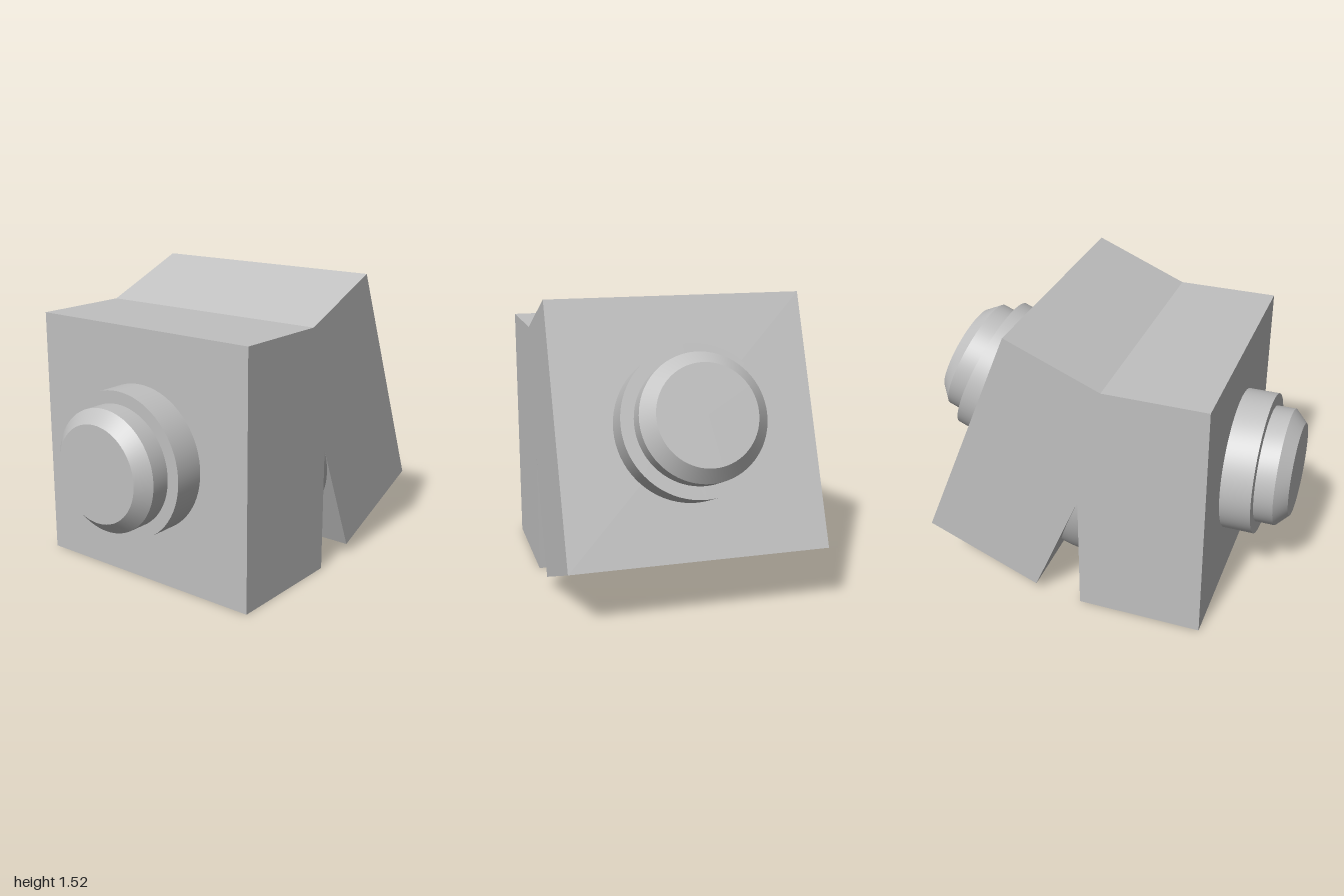
import * as THREE from 'three';
import { toCreasedNormals } from 'three/addons/utils/BufferGeometryUtils.js';

const R = 0.66;               // half height, half depth, block length and ball radius
const BEND = Math.PI / 8;     // angle between the two blocks
const PIVOT = new THREE.Vector2(-0.013, R);

export function createModel() {
  const group = new THREE.Group();
  const grey = new THREE.MeshStandardMaterial({ color: 0xc0c0c0 });
  const add = (geometry, name) => {
    const mesh = new THREE.Mesh(geometry, grey);
    mesh.name = name;
    group.add(mesh);
    return mesh;
  };

  // Two square blocks hinged at the pivot, with an open wedge below
  const bent = (x, y) => new THREE.Vector2(x, y).rotateAround(new THREE.Vector2(), BEND).add(PIVOT);
  const straight = (x, y) => new THREE.Vector2(x, y).add(PIVOT);
  const outline = new THREE.Shape([
    straight(-R, -R), straight(0, -R), straight(0, 0),
    bent(0, -R), bent(R, -R), bent(R, R),
    straight(-R * Math.tan(BEND / 2), R), straight(-R, R),
  ]);
  const body = new THREE.ExtrudeGeometry(outline, { depth: 2 * R, bevelEnabled: false });
  body.translate(0, 0, -R);
  add(body, 'bentBody');

  // Slice of the ball joint filling the wedge
  const ball = new THREE.SphereGeometry(R, 16, 64, Math.PI / 2, BEND);
  ball.rotateX(Math.PI / 2);
  add(ball, 'ballJoint').position.set(PIVOT.x, PIVOT.y, 0);

  // Stepped, chamfered end plug, measured outward from the pivot
  const profile = [[0.378, R - 0.02], [0.378, 0.822], [0.313, 0.822], [0.313, 0.922], [0.248, 0.987], [0, 0.987]]
    .map(([r, d]) => new THREE.Vector2(r, d));
  const plug = toCreasedNormals(new THREE.LatheGeometry(profile, 72), 0.5);
  for (const [name, angle] of [['rightPlug', Math.PI / 2], ['leftPlug', BEND - Math.PI / 2]]) {
    const mesh = add(plug, name);
    mesh.position.set(PIVOT.x, PIVOT.y, 0);
    mesh.rotation.z = angle;
  }
  return group;
}
